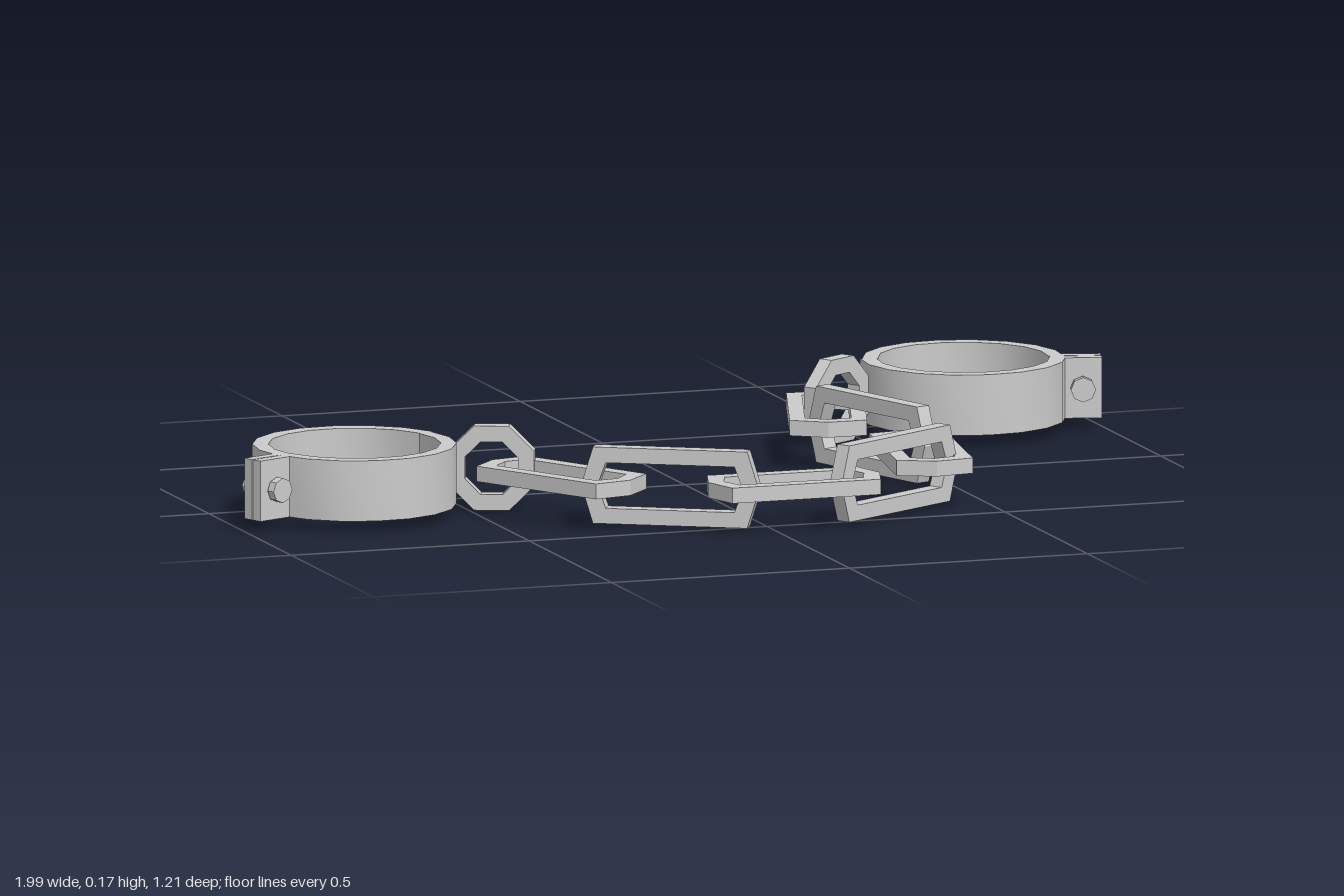
import * as THREE from 'three';
import { toCreasedNormals } from 'three/addons/utils/BufferGeometryUtils.js';

const MID = 0.085; // height of the chain's centre line
const material = new THREE.MeshStandardMaterial({ color: 0xcccccc });

const points = (list) => list.map(([x, y]) => new THREE.Vector2(x, y));

// Extrudes an outline, with an optional hole, centred on z = 0
function plate(outline, hole, depth) {
  const shape = new THREE.Shape(points(outline));
  if (hole) shape.holes.push(new THREE.Path(points(hole)));
  const geo = new THREE.ExtrudeGeometry(shape, { depth, bevelEnabled: false });
  return geo.translate(0, 0, -depth / 2);
}

function add(parent, name, geometry) {
  const mesh = new THREE.Mesh(geometry, material);
  mesh.name = name;
  parent.add(mesh);
  return mesh;
}

// Puts an object at (x, z) with its local x axis along (dx, dz)
function place(object, x, z, dx, dz) {
  object.position.set(x, MID, z);
  object.rotation.y = Math.atan2(-dz, dx);
}

const hexagon = (tip, shoulder, half) => [
  [tip, 0], [shoulder, half], [-shoulder, half],
  [-tip, 0], [-shoulder, -half], [shoulder, -half],
];

// Octagon with a flat top, given the distance to its sides
const octagon = (apothem) => Array.from({ length: 8 }, (_, i) => {
  const a = (i + 0.5) * Math.PI / 4;
  const r = apothem / Math.cos(Math.PI / 8);
  return [r * Math.cos(a), r * Math.sin(a)];
});

// Half of a cuff band, as a faceted arc from angle start
function bandHalf(start, outer, inner) {
  const sides = 9;
  const arc = (r) => Array.from({ length: sides + 1 }, (_, i) => {
    const a = start + i * Math.PI / sides;
    return [r * Math.cos(a), r * Math.sin(a)];
  });
  const geo = plate([...arc(outer), ...arc(inner).reverse()], null, 0.122);
  return toCreasedNormals(geo.rotateX(-Math.PI / 2), 0.6);
}

// Cuff with its bolted tabs on local +x and its seam on -x
function createCuff(name) {
  const cuff = new THREE.Group();
  cuff.name = name;
  add(cuff, 'bandBackHalf', bandHalf(0, 0.201, 0.17));
  add(cuff, 'bandFrontHalf', bandHalf(Math.PI, 0.205, 0.173));
  for (const s of [-1, 1]) {
    add(cuff, 'tab', new THREE.BoxGeometry(0.088, 0.122, 0.022)).position.set(0.231, 0, s * 0.0125);
    const head = add(cuff, 'boltHead',
      new THREE.CylinderGeometry(0.025, 0.025, 0.018, 8).toNonIndexed().rotateX(Math.PI / 2));
    head.geometry.computeVertexNormals();
    head.position.set(0.236, 0, s * 0.038);
  }
  add(cuff, 'boltShaft', new THREE.CylinderGeometry(0.012, 0.012, 0.08, 8).rotateX(Math.PI / 2))
    .position.set(0.236, 0, 0);
  return cuff;
}

export function createModel() {
  const model = new THREE.Group();
  model.name = 'shackles';

  // Cuffs: x, z and the direction of the tabs
  const cuffs = [
    ['rightCuff', -0.733, 0.118, -0.92, 0.39],
    ['leftCuff', 0.727, -0.411, 0.967, 0.253],
  ];
  for (const [name, ...at] of cuffs) {
    const cuff = createCuff(name);
    place(cuff, ...at);
    model.add(cuff);
  }

  // Upright rings that join the cuffs to the chain
  const ring = plate(octagon(0.085), octagon(0.053), 0.03);
  place(add(model, 'rightRing', ring), -0.452, 0.136, 32, 14);
  place(add(model, 'leftRing', ring), 0.446, -0.366, 30, -19);

  // Chain links, by turns lying flat and standing upright
  const upright = plate(hexagon(0.18, 0.156, 0.077), hexagon(0.147, 0.13, 0.046), 0.031);
  const flat = upright.clone().rotateX(Math.PI / 2);
  const links = [
    [-0.361, 0.294, 30, 51],
    [-0.187, 0.46, 59, 34],
    [0.048, 0.524, 1, 0],
    [0.281, 0.457, 58, -35],
    [0.404, 0.267, 9, -57],
    [0.385, 0.027, -24, -63],
    [0.372, -0.214, 18, -56],
  ];
  links.forEach((at, i) => {
    const link = add(model, 'chainLink' + (i + 1), i % 2 ? upright : flat);
    place(link, ...at);
  });

  return model;
}
